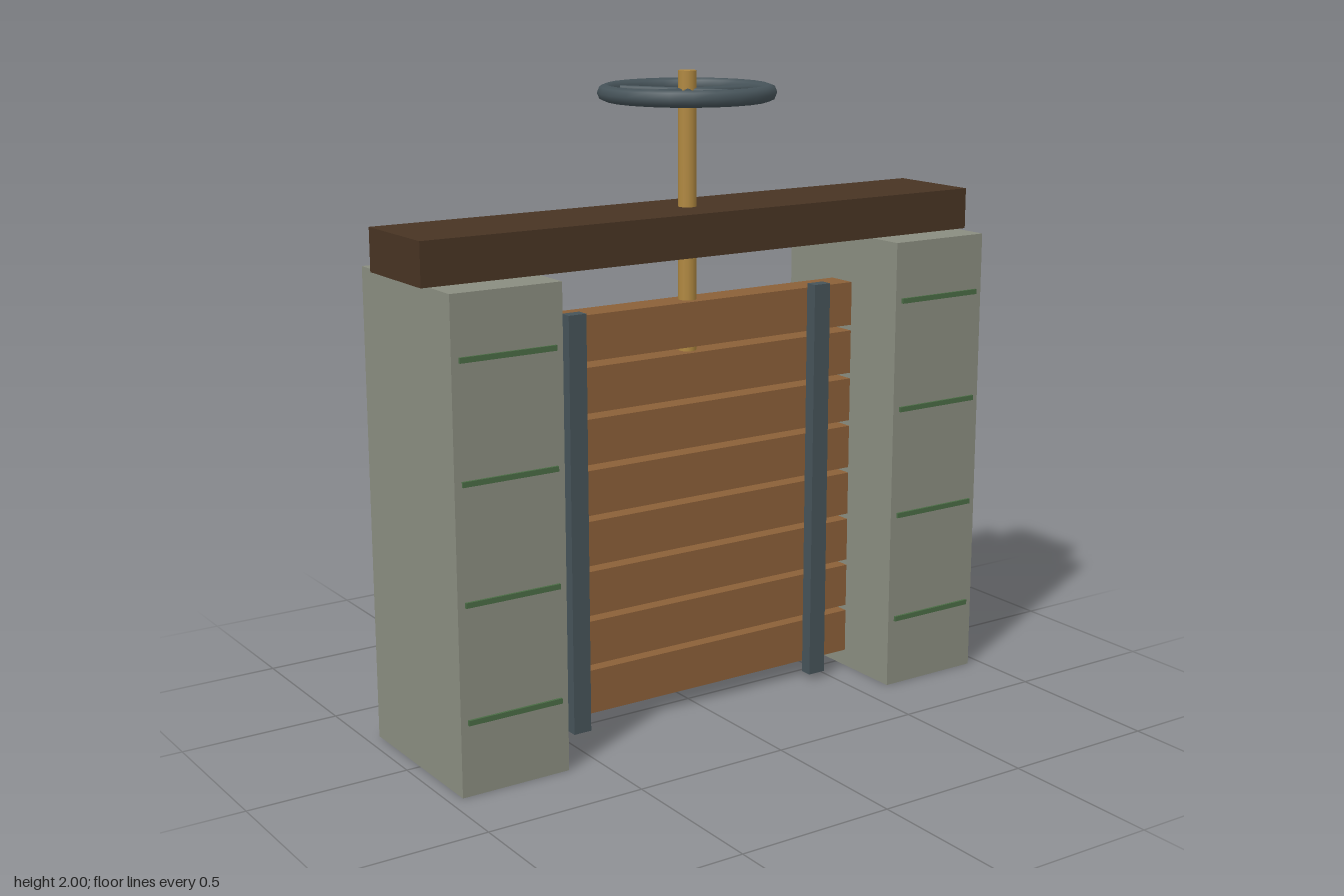
import * as THREE from 'three';

export function createModel() {
  const model = new THREE.Group();
  model.name = 'sluiceGate';

  const material = (name, color) => {
    const m = new THREE.MeshStandardMaterial({ color });
    m.name = name;
    return m;
  };
  const stone = material('stone', 0x8a8d80);
  const plankWood = material('plankWood', 0x8b6038);
  const darkWood = material('darkWood', 0x483423);
  const iron = material('iron', 0x465359);
  const brass = material('brass', 0xb08840);
  const moss = material('moss', 0x4a6b45);

  const add = (name, geometry, mat, x, y, z, parent = model) => {
    const mesh = new THREE.Mesh(geometry, mat);
    mesh.name = name;
    mesh.position.set(x, y, z);
    parent.add(mesh);
    return mesh;
  };
  const box = (name, w, h, d, mat, x, y, z) =>
    add(name, new THREE.BoxGeometry(w, h, d), mat, x, y, z);

  // Stone piers with moss lines, and the iron straps on the gate front
  for (const [side, s] of [['left', 1], ['right', -1]]) {
    box(`${side}Pier`, 0.352, 1.46, 0.544, stone, s * 0.78, 0.73, -0.004);
    for (let i = 0; i < 4; i++) {
      box(`${side}MossLine`, 0.306, 0.016, 0.016, moss, s * 0.78, 0.225 + i * 0.35, 0.268);
    }
    box(`${side}Strap`, 0.06, 1.3, 0.04, iron, s * 0.45, 0.67, 0.072);
  }

  // Gate planks with open gaps between them
  for (let i = 0; i < 8; i++) {
    box('gatePlank', 1.208, 0.14, 0.1, plankWood, 0, 0.124 + i * 0.1587, -0.004);
  }

  // Cross beam
  box('crossBeam', 1.966, 0.13, 0.316, darkWood, 0, 1.526, -0.004);

  // Lifting screw
  add('liftingScrew', new THREE.CylinderGeometry(0.028, 0.028, 0.86, 12), brass, 0, 1.57, -0.004);

  // Handwheel: rim with three spokes running through the screw
  const wheel = new THREE.Group();
  wheel.name = 'handwheel';
  wheel.position.set(0, 1.935, -0.004);
  model.add(wheel);
  const rim = new THREE.TorusGeometry(0.246, 0.025, 8, 24).rotateX(Math.PI / 2);
  add('wheelRim', rim, iron, 0, 0, 0, wheel);
  for (let i = 0; i < 3; i++) {
    const bar = new THREE.CylinderGeometry(0.013, 0.013, 0.49, 8).rotateZ(Math.PI / 2);
    add('wheelSpoke', bar, iron, 0, 0, 0, wheel).rotation.y = (i * Math.PI) / 3;
  }

  return model;
}
